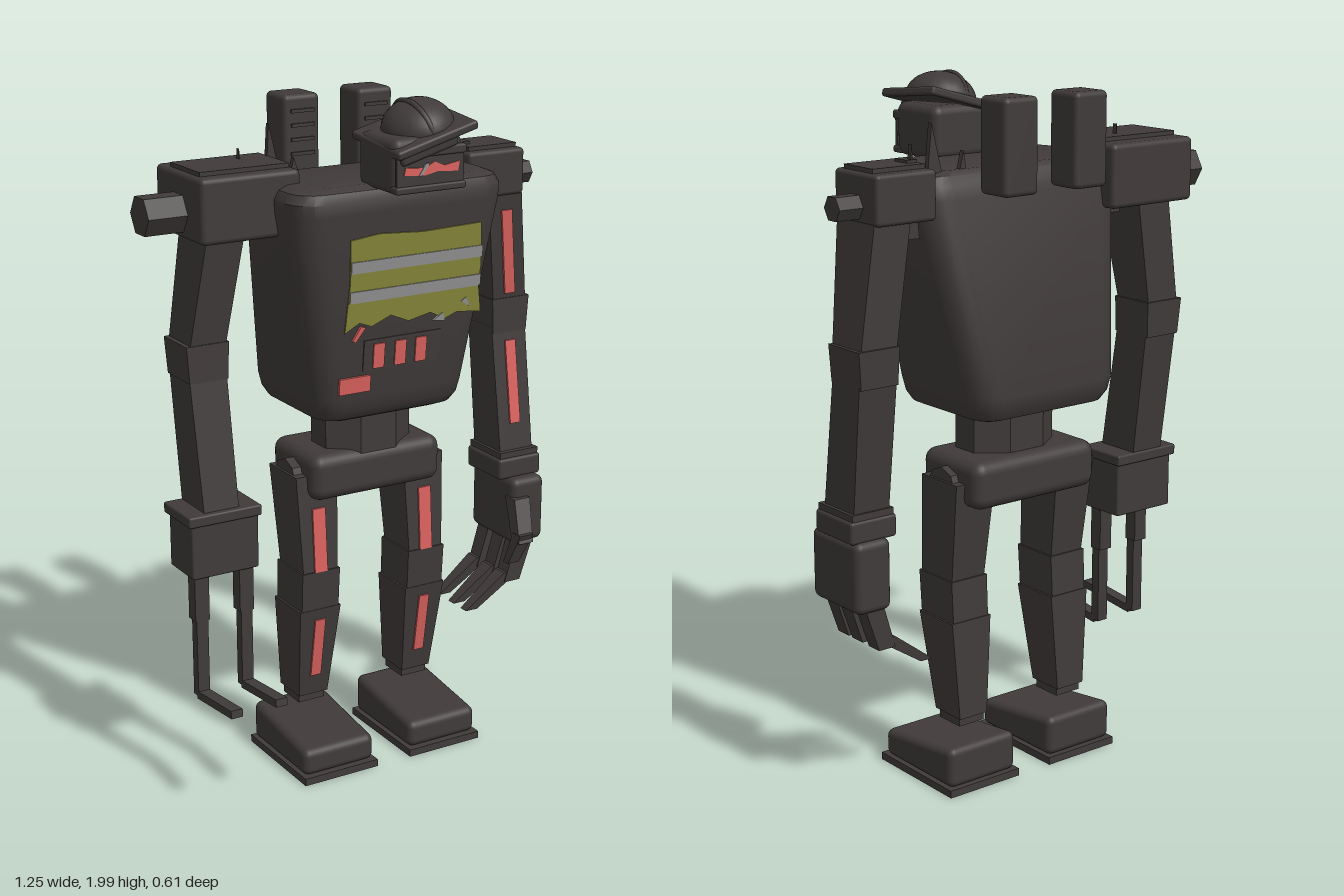
import * as THREE from 'three';
import { toCreasedNormals } from 'three/addons/utils/BufferGeometryUtils.js';
import { RoundedBoxGeometry } from 'three/addons/geometries/RoundedBoxGeometry.js';

const paint = (name, hex) => {
  const m = new THREE.MeshStandardMaterial({ color: hex });
  m.name = name;
  return m;
};

export function createModel() {
  const model = new THREE.Group();
  model.name = 'robot';
  const steel = paint('dark steel', 0x403b3a);
  const red = paint('faded red', 0xd9625e);
  const yellow = paint('vest yellow', 0x86863a);
  const grey = paint('stripe grey', 0x929292);
  const MID = 0.037; // body centre line

  const add = (name, geo, mat = steel, parent = model) => {
    const m = new THREE.Mesh(geo, mat);
    m.name = name;
    parent.add(m);
    return m;
  };

  // Box given by its min and max corners, with optional rounding
  const block = (name, [x0, x1], [y0, y1], [z0, z1], r = 0, mat = steel, parent = model) => {
    const s = [x1 - x0, y1 - y0, z1 - z0];
    const m = add(name, r ? new RoundedBoxGeometry(...s, 3, r) : new THREE.BoxGeometry(...s), mat, parent);
    m.position.set((x0 + x1) / 2, (y0 + y1) / 2, (z0 + z1) / 2);
    return m;
  };

  // Four-sided limb between two rectangles [x, y, z, width, depth]
  const limb = (name, top, bot, mat = steel) => {
    const g = new THREE.BoxGeometry(1, 1, 1), p = g.attributes.position;
    for (let i = 0; i < p.count; i++) {
      const e = p.getY(i) > 0 ? top : bot;
      p.setXYZ(i, e[0] + p.getX(i) * e[3], e[1], e[2] + p.getZ(i) * e[4]);
    }
    g.computeVertexNormals();
    return add(name, g, mat);
  };

  // Painted strip on the front of a limb, from fraction t0 to t1 of its length
  const strip = (name, top, bot, t0, t1, w) => {
    const at = t => {
      const e = top.map((v, i) => v + (bot[i] - v) * t);
      return [e[0], e[1], e[2] + e[4] / 2 + 0.002, w, 0.008];
    };
    limb(name, at(t0), at(t1), red);
  };

  // Flat plate cut from an outline
  const plate = (name, pts, mat, parent, depth = 0.005, z = 0) => {
    const shape = new THREE.Shape(pts.map(p => new THREE.Vector2(...p)));
    const m = add(name, new THREE.ExtrudeGeometry(shape, { depth, bevelEnabled: false }), mat, parent);
    m.position.z = z;
    return m;
  };
  const rect = (x0, x1, y0, y1) => [[x0, y0], [x1, y0], [x1, y1], [x0, y1]];

  // Cylinder lying along x
  const axle = (name, x0, x1, y, z, r, sides) => {
    const g = new THREE.CylinderGeometry(r, r, x1 - x0, sides).rotateZ(Math.PI / 2);
    const m = add(name, toCreasedNormals(g, 0.3));
    m.position.set((x0 + x1) / 2, y, z);
  };

  // Torso: rounded rectangles lofted upward [y, half width, z back, z front, corner]
  const rings = [
    [1.08, 0.01, -0.1, -0.09, 0.004], [1.08, 0.19, -0.235, 0.065, 0.05],
    [1.093, 0.222, -0.272, 0.095, 0.06], [1.12, 0.237, -0.288, 0.112, 0.065],
    [1.16, 0.246, -0.296, 0.121, 0.07], [1.69, 0.335, -0.19, 0.174, 0.08],
    [1.725, 0.337, -0.18, 0.175, 0.08], [1.75, 0.322, -0.165, 0.162, 0.07],
    [1.762, 0.292, -0.14, 0.135, 0.06], [1.762, 0.01, 0, 0.01, 0.004],
  ];
  const pos = [], idx = [], C = 5, N = 4 * C;
  rings.forEach(([y, hx, zb, zf, r], k) => {
    for (let j = 0; j < N; j++) {
      const q = Math.floor(j / C), a = (q + (j % C) / (C - 1)) * Math.PI / 2;
      const cx = (q === 0 || q === 3 ? 1 : -1) * (hx - r);
      const cz = q < 2 ? zf - r : zb + r;
      pos.push(MID + cx + r * Math.cos(a), y, cz + r * Math.sin(a));
      if (k < rings.length - 1) {
        const p = k * N + j, n = k * N + (j + 1) % N;
        idx.push(p, p + N, n, n, p + N, n + N);
      }
    }
  });
  const torso = new THREE.BufferGeometry();
  torso.setAttribute('position', new THREE.Float32BufferAttribute(pos, 3));
  torso.setIndex(idx);
  add('torso', toCreasedNormals(torso, 0.6));

  // Chest markings, laid on the sloping front
  const chest = new THREE.Group();
  chest.name = 'chestMarkings';
  chest.position.set(0, 1.7, 0.174);
  chest.rotation.x = Math.atan(0.1);
  model.add(chest);
  plate('vest', [[-0.14, -0.08], [-0.05, -0.07], [0.09, -0.08], [0.28, -0.075], [0.29, -0.2], [0.285, -0.25],
    [0.3, -0.34], [0.22, -0.33], [0.18, -0.345], [0.13, -0.32], [0.06, -0.335], [0.0, -0.31], [-0.06, -0.335],
    [-0.1, -0.32], [-0.145, -0.345], [-0.135, -0.2]], yellow, chest);
  for (const y of [-0.175, -0.26]) plate('vestStripe', rect(-0.135, 0.29, y, y + 0.033), grey, chest, 0.008);
  plate('tornScrap', [[0.14, -0.345], [0.18, -0.35], [0.17, -0.325]], grey, chest, 0.008);
  plate('tornScrap', [[0.23, -0.3], [0.262, -0.32], [0.245, -0.29]], grey, chest, 0.008);
  plate('redScratch', [[-0.12, -0.37], [-0.11, -0.375], [-0.08, -0.335], [-0.095, -0.33]], red, chest, 0.008);
  plate('ventPanel', rect(-0.08, 0.17, -0.465, -0.375), steel, chest, 0.004);
  for (const x of [-0.05, 0.02, 0.087]) plate('ventBar', rect(x, x + 0.036, -0.46, -0.388), red, chest, 0.008);
  plate('badge', rect(-0.155, -0.055, -0.525, -0.478), red, chest, 0.008);

  // Back stacks with ridges
  for (const x of [-0.14, 0.1]) {
    block('backStack', [x, x + 0.114], [1.7, 1.96], [-0.306, -0.192], 0.015);
    for (let i = 0; i < 4; i++) block('stackRidge', [x + 0.02, x + 0.094], [1.79 + i * 0.04, 1.8 + i * 0.04], [-0.194, -0.186]);
  }

  // Head with framed visor
  block('head', [-0.07, 0.15], [1.75, 1.9], [0.085, 0.275], 0.025);
  plate('visorFrame', rect(-0.065, 0.145, 1.77, 1.86), steel, model, 0.009, 0.272);
  plate('visorStrip', [[-0.045, 1.805], [0.02, 1.8], [0.06, 1.808], [0.125, 1.803], [0.13, 1.83], [0.08, 1.822],
    [0.05, 1.835], [0.02, 1.82], [-0.04, 1.825]], red, model, 0.004, 0.28);
  plate('visorScratch', [[0.0, 1.8], [0.01, 1.8], [0.035, 1.832], [0.022, 1.832]], grey, model, 0.006, 0.28);
  for (const [y0, y1] of [[1.755, 1.775], [1.85, 1.875]]) block('visorRim', [-0.07, 0.15], [y0, y1], [0.25, 0.288], 0.006);

  // Tilted helmet
  const helmet = new THREE.Group();
  helmet.name = 'helmet';
  helmet.position.set(0.055, 1.905, 0.172);
  helmet.rotation.set(0.1, 0, 0.27);
  model.add(helmet);
  block('brim', [-0.13, 0.125], [-0.012, 0.012], [-0.115, 0.13], 0.008, steel, helmet);
  block('frontPeak', [-0.12, 0.06], [-0.035, 0], [0.08, 0.125], 0.01, steel, helmet);
  const dome = add('dome', new THREE.SphereGeometry(0.1, 24, 10, 0, Math.PI * 2, 0, Math.PI / 2), steel, helmet);
  dome.scale.set(0.98, 0.78, 1.08);
  dome.position.x = 0.012;
  const crest = add('crest', new THREE.TorusGeometry(0.1, 0.008, 6, 20, Math.PI).rotateY(Math.PI / 2), steel, helmet);
  crest.scale.y = 0.8;

  // Shoulders: a heavy one on the right, a lighter one on the left
  block('rightShoulder', [-0.515, -0.215], [1.62, 1.8], [-0.245, 0.035], 0.015);
  block('rightShoulderPlate', [-0.5, -0.23], [1.79, 1.812], [-0.18, -0.005]);
  axle('rightShoulderStub', -0.63, -0.5, 1.69, -0.107, 0.058, 6);
  block('leftShoulder', [0.36, 0.552], [1.645, 1.78], [-0.205, -0.01], 0.012);
  block('leftShoulderPlate', [0.375, 0.54], [1.775, 1.792], [-0.17, -0.04]);
  block('leftShoulderVent', [0.378, 0.41], [1.785, 1.8], [-0.14, -0.085]);
  axle('leftShoulderStub', 0.54, 0.625, 1.69, -0.107, 0.036, 6);

  // Flat spikes beside the neck and on the shoulders
  for (const [x0, x1, y, ax, ay] of [[-0.24, -0.185, 1.72, -0.228, 1.9], [-0.335, -0.3, 1.59, -0.32, 1.84],
    [-0.165, -0.13, 1.74, -0.15, 1.8], [0.285, 0.345, 1.72, 0.327, 1.89], [0.21, 0.24, 1.74, 0.222, 1.81],
    [0.37, 0.41, 1.59, 0.392, 1.84]]) {
    plate('spike', [[x0, y], [x1, y], [ax, ay]], steel, model, 0.015, -0.137);
  }

  // Arms
  const arms = [
    { n: 'right', up: [-0.405, 1.7, -0.105, 0.115, 0.175], el: [-0.463, 1.3, -0.125, 0.11, 0.13],
      el2: [-0.463, 1.24, -0.12, 0.115, 0.125], wr: [-0.463, 0.84, -0.06, 0.108, 0.14] },
    { n: 'left', up: [0.485, 1.7, -0.1, 0.115, 0.175], el: [0.545, 1.3, -0.125, 0.115, 0.13],
      el2: [0.541, 1.24, -0.12, 0.12, 0.125], wr: [0.535, 0.84, -0.06, 0.115, 0.14] },
  ];
  for (const { n, up, el, el2, wr } of arms) {
    limb(n + 'UpperArm', up, el);
    limb(n + 'Elbow', [el[0], 1.325, el[2], 0.13, 0.142], [el2[0], 1.22, el2[2], 0.118, 0.138]);
    limb(n + 'Forearm', el2, wr);
  }
  const L = arms[1];
  strip('upperArmStrip', L.up, L.el, 0.25, 0.9, 0.036);
  strip('forearmStrip', L.el2, L.wr, 0.11, 0.73, 0.036);

  // Right hand: fork lift
  block('forkCuff', [-0.572, -0.345], [0.83, 0.862], [-0.14, 0.025], 0.006);
  block('forkHousing', [-0.56, -0.352], [0.672, 0.835], [-0.13, 0.015], 0.006);
  for (const x of [-0.528, -0.387]) {
    block('forkUpright', [x - 0.018, x + 0.018], [0.308, 0.68], [-0.03, 0.0]);
    block('forkSleeve', [x - 0.022, x + 0.022], [0.54, 0.69], [-0.04, 0.002]);
    block('forkTine', [x - 0.018, x + 0.018], [0.311, 0.334], [-0.01, 0.202]).rotation.x = -0.11;
  }

  // Left hand: cuffs, palm, fingers and thumb
  block('leftCuff', [0.46, 0.61], [0.785, 0.85], [-0.145, 0.03], 0.01);
  block('leftCuffRim', [0.468, 0.603], [0.845, 0.868], [-0.14, 0.022]);
  block('palm', [0.488, 0.603], [0.585, 0.79], [-0.16, 0.065], 0.022);
  for (const z of [0.033, -0.035, -0.115]) {
    limb('fingerBase', [0.545, 0.62, z, 0.06, 0.055], [0.495, 0.465, z, 0.055, 0.05]);
    limb('fingerTip', [0.497, 0.495, z, 0.06, 0.048], [0.355, 0.395, z, 0.04, 0.03]);
  }
  limb('thumbBase', [0.51, 0.735, 0.055, 0.055, 0.05], [0.48, 0.62, 0.128, 0.05, 0.04]);
  limb('thumbTip', [0.482, 0.645, 0.128, 0.048, 0.04], [0.46, 0.55, 0.1, 0.04, 0.025]);

  // Waist and pelvis
  const waist = new THREE.CylinderGeometry(0.153, 0.153, 0.16, 8).rotateY(Math.PI / 8);
  const w = add('waist', toCreasedNormals(waist, 0.3));
  w.position.set(MID + 0.005, 1.03, -0.085);
  w.scale.z = 0.72;
  block('pelvis', [-0.175, 0.255], [0.828, 0.965], [-0.235, 0.025], 0.035);

  // Legs and feet, mirrored about the centre line
  for (const [n, s] of [['right', -1], ['left', 1]]) {
    const x = MID + s * 0.18, out = MID + s * 0.24;
    axle(n + 'HipBolt', Math.min(out - s * 0.06, out), Math.max(out - s * 0.06, out), 0.875, -0.1, 0.062, 8);
    const hip = [x, 0.9, -0.1, 0.135, 0.16], knee = [x, 0.59, -0.07, 0.112, 0.14];
    const shin = [x, 0.49, -0.08, 0.135, 0.155], ankle = [x, 0.2, -0.108, 0.096, 0.115];
    limb(n + 'Thigh', hip, knee);
    limb(n + 'Knee', [x, 0.61, -0.072, 0.124, 0.152], [x, 0.48, -0.08, 0.122, 0.15]);
    limb(n + 'Shin', shin, ankle);
    block(n + 'Ankle', [x - 0.043, x + 0.043], [0.175, 0.21], [-0.155, -0.062]);
    strip(n + 'ThighStrip', hip, knee, 0.32, 0.94, 0.042);
    strip(n + 'ShinStrip', shin, ankle, 0.12, 0.77, 0.034);

    const shoe = new RoundedBoxGeometry(0.235, 0.12, 0.32, 3, 0.022), p = shoe.attributes.position;
    for (let i = 0; i < p.count; i++) {
      if (p.getY(i) > 0) p.setY(i, p.getY(i) - (p.getZ(i) + 0.16) * 0.125);
    }
    add(n + 'Shoe', shoe).position.set(x, 0.08, -0.053);
    block(n + 'Sole', [x - 0.123, x + 0.123], [0, 0.022], [-0.22, 0.118]);
  }
  return model;
}
